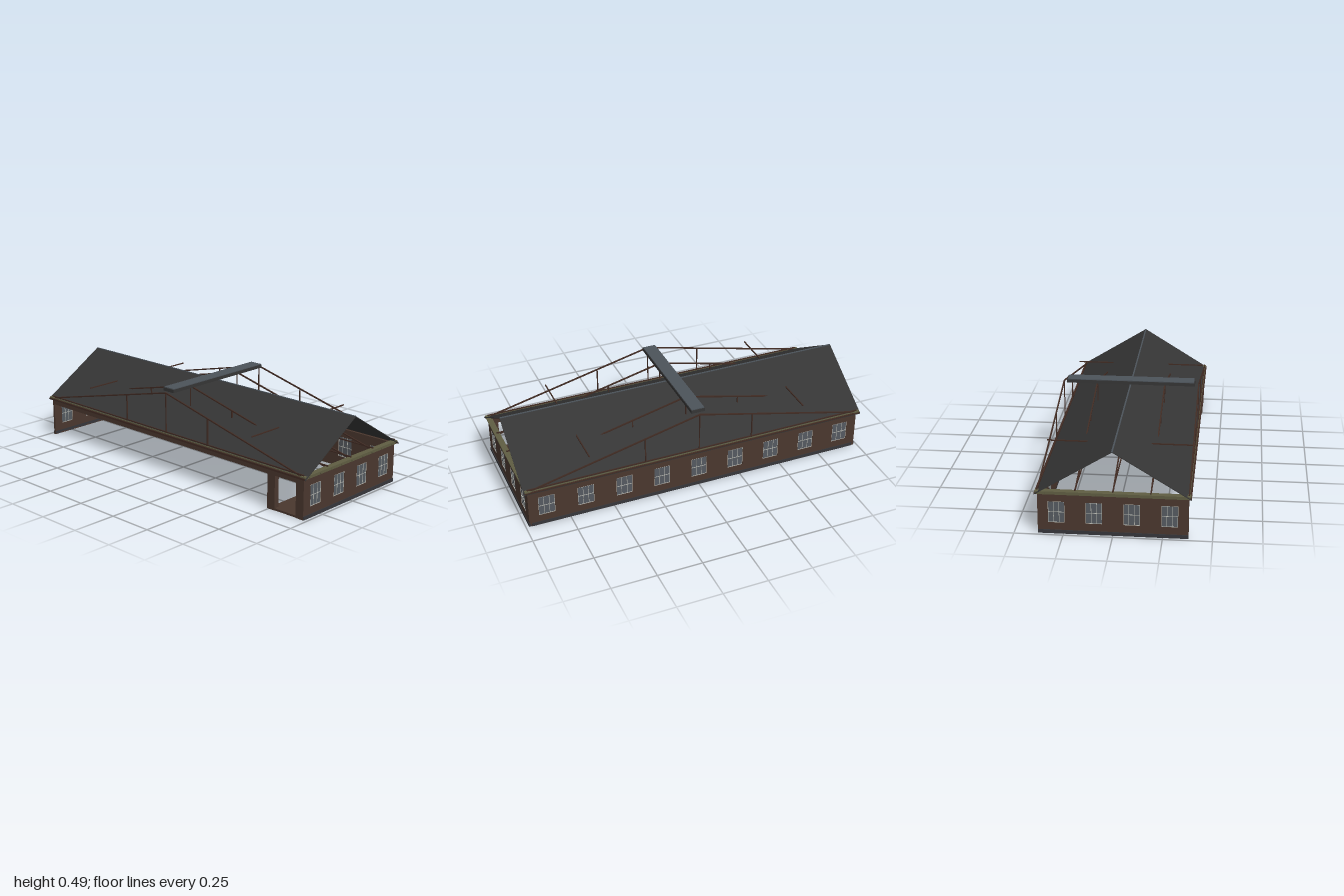
import * as THREE from 'three';

export function createModel() {
  const model = new THREE.Group();
  const mat = (name, color) => {
    const m = new THREE.MeshStandardMaterial({ color });
    m.name = name;
    return m;
  };
  const brick = mat('brown brick', 0x4a372e);
  const slate = mat('dark roofing', 0x353535);
  const plinth = mat('plinth grey', 0x36363a);
  const timber = mat('truss brown', 0x402b23);
  const olive = mat('olive trim', 0x5f5d42);
  const glass = mat('window glass', 0x555a60);
  const white = mat('window frame', 0xb4b5ae);
  const metal = mat('ridge metal', 0x4c535a);

  const add = (parent, name, geo, material) => {
    const m = new THREE.Mesh(geo, material);
    m.name = name;
    parent.add(m);
    return m;
  };
  // box from its minimum and maximum corners
  const box = (parent, name, material, a, b) => {
    const m = add(parent, name, new THREE.BoxGeometry(b[0] - a[0], b[1] - a[1], b[2] - a[2]), material);
    m.position.set((a[0] + b[0]) / 2, (a[1] + b[1]) / 2, (a[2] + b[2]) / 2);
    return m;
  };
  // square bar between two points
  const bar = (parent, name, a, b, t = 0.006) => {
    const p = new THREE.Vector3(...a), q = new THREE.Vector3(...b);
    const m = add(parent, name, new THREE.BoxGeometry(t, t, p.distanceTo(q)), timber);
    m.position.copy(p).add(q).multiplyScalar(0.5);
    m.lookAt(q);
    return m;
  };

  // Wall with real window openings, outside facing local +z
  const T = 0.014, WALL_H = 0.225, SILL = 0.06, HEAD = 0.176;
  function wall(name, length, centres, w) {
    const g = new THREE.Group();
    g.name = name;
    const s = new THREE.Shape();
    s.moveTo(-length / 2, 0).lineTo(length / 2, 0).lineTo(length / 2, WALL_H).lineTo(-length / 2, WALL_H).closePath();
    for (const c of centres) {
      const h = new THREE.Path();
      h.moveTo(c - w / 2, SILL).lineTo(c - w / 2, HEAD).lineTo(c + w / 2, HEAD).lineTo(c + w / 2, SILL).closePath();
      s.holes.push(h);
    }
    const geo = new THREE.ExtrudeGeometry(s, { depth: T, bevelEnabled: false });
    geo.translate(0, 0, -T);
    add(g, name + 'Brick', geo, brick);
    box(g, 'plinth', plinth, [-length / 2, 0, -T], [length / 2, 0.02, 0.003]);
    for (const c of centres) {
      const l = c - w / 2, r = c + w / 2;
      box(g, 'pane', glass, [l, SILL, -0.009], [r, HEAD, -0.003]);
      const b = 0.0012, z0 = -0.011, z1 = -0.001;
      for (const x of [l + b, c - w / 6, c + w / 6, r - b])
        box(g, 'uprightGlazingBar', white, [x - b, SILL, z0], [x + b, HEAD, z1]);
      for (const y of [SILL + b, 0.118, HEAD - b])
        box(g, 'crossGlazingBar', white, [l, y - b, z0], [r, y + b, z1]);
    }
    model.add(g);
    return g;
  }

  const X = 0.38, Z = 0.98;
  const endWindows = [-0.285, -0.095, 0.095, 0.285];
  const sideWindows = Array.from({ length: 9 }, (_, i) => (i - 4) * 0.2195);
  wall('frontWall', 2 * X, endWindows, 0.084).position.z = Z;
  const back = wall('backWall', 2 * X, endWindows, 0.084);
  back.rotation.y = Math.PI;
  back.position.z = -Z;
  const side = wall('sideWall', 2 * Z - 2 * T, sideWindows, 0.092);
  side.rotation.y = Math.PI / 2;
  side.position.x = X;

  // Open side: beam under the eave, porch posts and porch floor
  box(model, 'eaveBeam', brick, [-X, 0.19, -Z + T], [-X + 0.02, 0.228, Z - T]);
  box(model, 'porchPost', brick, [-X, 0, 0.74], [-X + 0.03, 0.19, 0.79]);
  box(model, 'cornerPost', brick, [-X, 0, 0.93], [-X + 0.03, 0.19, Z - T]);
  box(model, 'porchFloor', brick, [-X + 0.001, 0.001, 0.76], [X - T, 0.012, Z - T]);

  // Olive cornice on both ends, with small brackets
  for (const s of [1, -1]) {
    const end = new THREE.Group();
    end.name = 'endCornice';
    box(end, 'frieze', olive, [-0.385, 0.216, Z - 0.014], [0.385, 0.229, Z + 0.006]);
    box(end, 'corniceCap', olive, [-0.39, 0.229, Z - 0.018], [0.39, 0.236, Z + 0.014]);
    for (let i = -4; i <= 4; i++)
      box(end, 'bracket', olive, [i * 0.086 - 0.003, 0.218, Z], [i * 0.086 + 0.003, 0.229, Z + 0.01]);
    if (s < 0) end.rotation.y = Math.PI;
    model.add(end);
  }

  // Thin double-pitched roof with open gables, and eave gutters
  const RX = 0.393, RY = 0.223, TOP = 0.465;
  const roof = new THREE.Shape();
  roof.moveTo(-RX, RY).lineTo(0, TOP).lineTo(RX, RY).lineTo(RX, RY - 0.004).lineTo(0, TOP - 0.004).lineTo(-RX, RY - 0.004).closePath();
  const roofGeo = new THREE.ExtrudeGeometry(roof, { depth: 2, bevelEnabled: false });
  roofGeo.translate(0, 0, -1);
  add(model, 'roof', roofGeo, slate);
  box(model, 'ridgeStrip', metal, [-0.004, TOP - 0.004, -1], [0.004, TOP + 0.001, 1]);
  for (const s of [-1, 1]) {
    const gutter = box(model, 'gutter', timber, [-0.005, 0.219, -0.995], [0.005, 0.229, 0.995]);
    gutter.position.x = s * 0.388;
    const lip = box(model, 'eaveTrim', olive, [-0.002, 0.229, -0.99], [0.002, 0.234, 0.99]);
    lip.position.x = s * 0.383;
  }

  // Five trusses running lengthwise
  const rafterY = z => 0.463 - 0.237 * Math.abs(z) / Z;
  for (let i = -2; i <= 2; i++) {
    const x = i * 0.19;
    const truss = new THREE.Group();
    truss.name = 'truss';
    bar(truss, 'tieBeam', [x, 0.24, -Z], [x, 0.24, Z]);
    bar(truss, 'kingPost', [x, 0.235, 0], [x, 0.463, 0], 0.005);
    for (const s of [-1, 1]) {
      bar(truss, 'rafter', [x, 0.228, s * Z], [x, 0.463, 0], 0.007);
      bar(truss, 'queenPost', [x, 0.235, s * 0.315], [x, rafterY(0.315), s * 0.315], 0.006);
    }
    model.add(truss);
  }
  for (const s of [-1, 1])
    bar(model, 'purlin', [-X, 0.36, s * 0.63], [X, 0.36, s * 0.63], 0.006);

  // Crosswise ridge cap
  box(model, 'ridgeCapBody', slate, [-0.36, 0.465, -0.039], [0.36, 0.483, 0.039]);
  box(model, 'ridgeCapTop', metal, [-0.355, 0.483, -0.037], [0.355, 0.487, 0.037]);

  return model;
}
